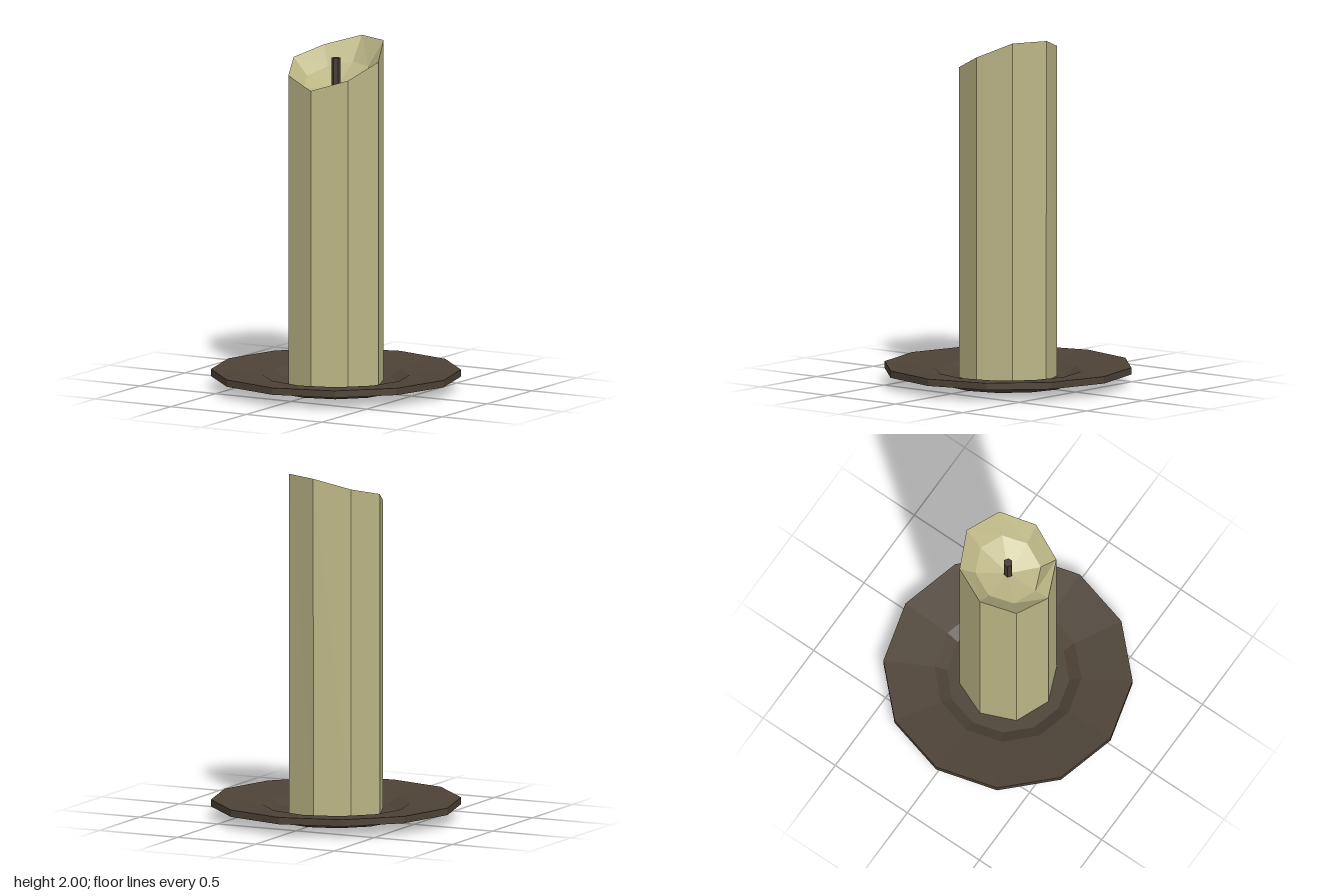
import * as THREE from 'three';

const pts = (list) => list.map(([r, y]) => new THREE.Vector2(r, y));

function material(name, color) {
  const m = new THREE.MeshStandardMaterial({ color, flatShading: true });
  m.name = name;
  return m;
}

function part(name, geometry, mat) {
  const mesh = new THREE.Mesh(geometry, mat);
  mesh.name = name;
  return mesh;
}

// Eight-sided candle whose rim slopes unevenly around a melted hollow
function candleGeometry() {
  const rim = [1.76, 1.825, 1.91, 2.0, 2.0, 1.94, 1.89, 1.82];
  const pool = [1.735, 1.745, 1.8, 1.85, 1.86, 1.83, 1.79, 1.745];
  const profile = pts([[0, 0.03], [0.28, 0.03], [0.28, 1.9], [0.19, 1.8], [0, 1.73]]);
  const geo = new THREE.LatheGeometry(profile, 8);
  const pos = geo.attributes.position;
  for (let i = 0; i <= 8; i++) {
    const row = i * profile.length;
    pos.setY(row + 2, rim[i % 8]);
    pos.setY(row + 3, pool[i % 8]);
    if (i === 4) pos.setZ(row + 2, -0.287); // back lip leans out slightly
  }
  geo.computeVertexNormals();
  return geo;
}

export function createModel() {
  const wax = material('wax', 0xbcb686);
  const metal = material('darkMetal', 0x4d4236);
  const char = material('charredWick', 0x463b31);

  const group = new THREE.Group();
  group.name = 'candleOnDish';

  // Shallow twelve-sided dish with a sunken middle
  const dish = new THREE.LatheGeometry(pts([
    [0, 0], [0.36, 0], [0.43, 0.04], [0.712, 0.07],
    [0.712, 0.11], [0.42, 0.08], [0.35, 0.04], [0, 0.04],
  ]), 12);
  group.add(part('dish', dish, metal));

  group.add(part('candle', candleGeometry(), wax));

  // Short hexagonal wick
  const wick = part('wick', new THREE.CylinderGeometry(0.026, 0.026, 0.19, 6), char);
  wick.position.y = 1.815;
  group.add(wick);

  return group;
}
